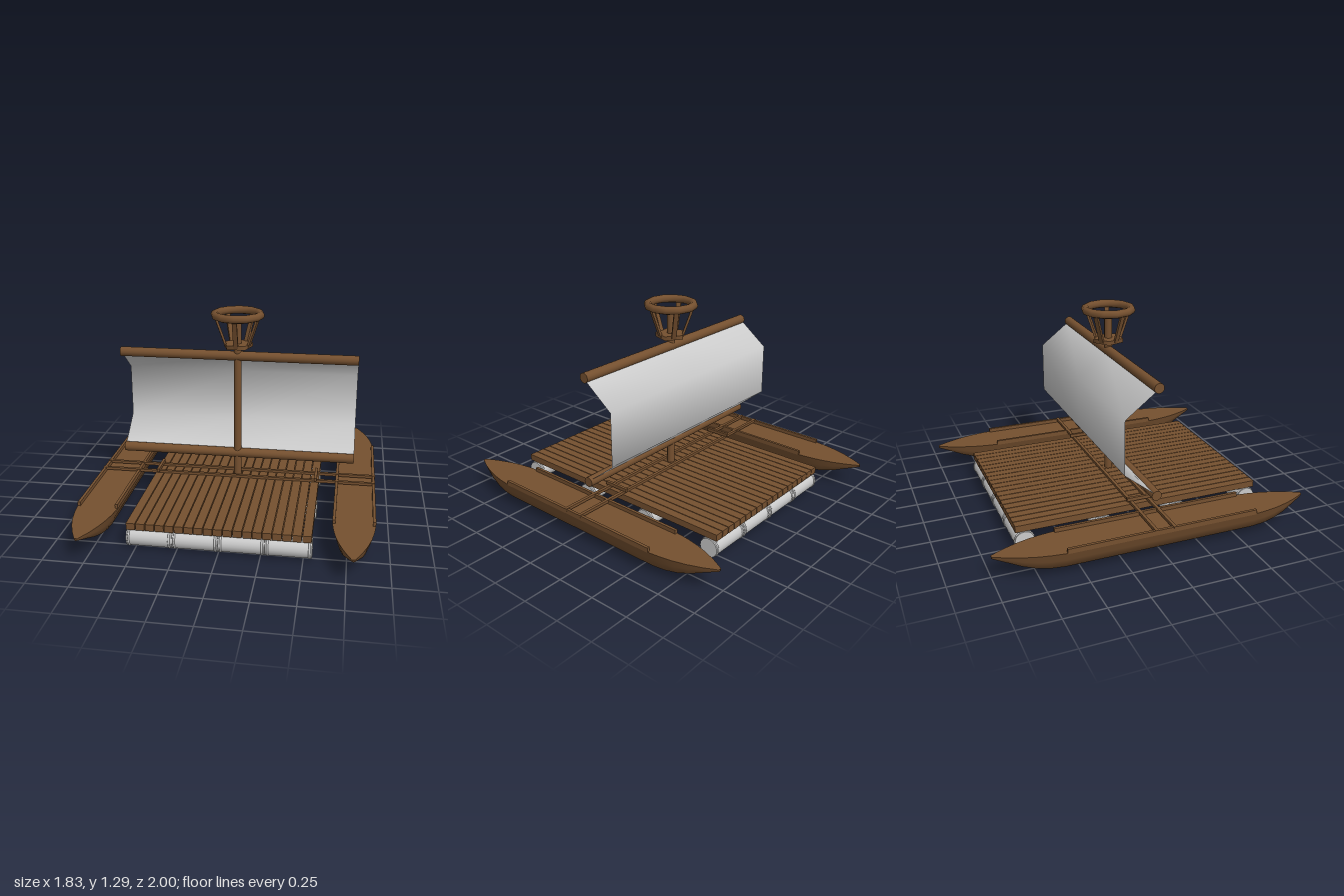
import * as THREE from 'three';

const wood = new THREE.MeshStandardMaterial({ color: 0x75502f });
const grey = new THREE.MeshStandardMaterial({ color: 0xcccccc });
const cloth = new THREE.MeshStandardMaterial({ color: 0xcccccc, side: THREE.DoubleSide });

function add(parent, name, geometry, material, x = 0, y = 0, z = 0) {
  const mesh = new THREE.Mesh(geometry, material);
  mesh.name = name;
  mesh.position.set(x, y, z);
  parent.add(mesh);
  return mesh;
}

const box = (w, h, d) => new THREE.BoxGeometry(w, h, d);
const rodX = (r, length, sides = 16) =>
  new THREE.CylinderGeometry(r, r, length, sides).rotateZ(Math.PI / 2);

// Hull shell lofted from cross-sections, with a separate flat top
function hullGeometry() {
  const half = [[0.6, 0.128, 0.03], [0.68, 0.119, 0.034], [0.76, 0.104, 0.048],
    [0.84, 0.081, 0.074], [0.92, 0.05, 0.11], [1, 0.01, 0.142]];
  const stations = [...half.map(([z, w, b]) => [-z, w, b]).reverse(), ...half];
  const section = [[1, 0], [0.86, 0.42], [0.7, 0.84], [0, 1], [-0.7, 0.84], [-0.86, 0.42], [-1, 0]];
  const top = 0.157, n = section.length, pos = [], idx = [];
  for (const [z, w, b] of stations)
    for (const [u, v] of section) pos.push(u * w, top - v * (top - b), z);
  for (let i = 0; i < stations.length - 1; i++)
    for (let j = 0; j < n - 1; j++) {
      const a = i * n + j, c = a + n;
      idx.push(a, c, a + 1, a + 1, c, c + 1);
    }
  // blunt tips
  const last = (stations.length - 1) * n;
  for (let j = 1; j < n - 1; j++) idx.push(0, j, j + 1, last, last + j + 1, last + j);
  // top surface
  const t = pos.length / 3;
  for (const [z, w] of stations) pos.push(w, top, z, -w, top, z);
  for (let i = 0; i < stations.length - 1; i++) {
    const a = t + i * 2;
    idx.push(a, a + 1, a + 2, a + 1, a + 3, a + 2);
  }
  const g = new THREE.BufferGeometry();
  g.setAttribute('position', new THREE.Float32BufferAttribute(pos, 3));
  g.setIndex(idx);
  g.computeVertexNormals();
  return g;
}

// Sail: a bent sheet bulging backwards between the yards
function sailGeometry() {
  const g = new THREE.PlaneGeometry(1.54, 1, 2, 3);
  const rows = [[0.98, -0.01], [0.83, -0.205], [0.49, -0.205], [0.335, -0.01]];
  const p = g.attributes.position;
  for (let i = 0; i < p.count; i++) {
    const [y, z] = rows[Math.floor(i / 3)];
    p.setY(i, y);
    p.setZ(i, z);
  }
  g.computeVertexNormals();
  return g;
}

function createLookout() {
  const nest = new THREE.Group();
  nest.name = 'lookout';
  // pentagonal floor with a corner pointing backwards
  add(nest, 'lookoutFloor', new THREE.CylinderGeometry(0.098, 0.098, 0.026, 5).rotateY(Math.PI),
    wood, 0, 1.063, 0);
  add(nest, 'lookoutRail', new THREE.TorusGeometry(0.146, 0.026, 8, 12).rotateX(Math.PI / 2),
    wood, 0, 1.26, 0);
  // leaning struts from the floor edges to the rail
  const up = new THREE.Vector3(0, 1, 0);
  for (let i = 0; i < 5; i++) {
    const a = (i * 2 * Math.PI) / 5;
    const foot = new THREE.Vector3(0, 1.06, 0.075);
    const head = new THREE.Vector3(0, 1.25, 0.142);
    const dir = head.clone().sub(foot);
    const strut = box(0.03, dir.length(), 0.015);
    strut.applyQuaternion(new THREE.Quaternion().setFromUnitVectors(up, dir.clone().normalize()));
    const mid = foot.add(head).multiplyScalar(0.5);
    strut.translate(mid.x, mid.y, mid.z).rotateY(a);
    add(nest, 'lookoutStrut', strut, wood);
  }
  return nest;
}

export function createModel() {
  const model = new THREE.Group();
  model.name = 'raft';

  // Deck planks
  const deck = new THREE.Group();
  deck.name = 'deck';
  model.add(deck);
  const count = 19, pitch = 1.1 / count;
  for (let i = 0; i < count; i++)
    add(deck, 'plank', box(pitch - 0.005, 0.042, 1.6), wood, (i - (count - 1) / 2) * pitch, 0.148, 0);

  // Rows of floats, each of four drums with rims at both ends
  for (const z of [-0.745, -0.248, 0.248, 0.745]) {
    const row = new THREE.Group();
    row.name = 'floatRow';
    row.position.set(0, 0.065, z);
    model.add(row);
    for (let i = 0; i < 4; i++) {
      const x = (i - 1.5) * 0.276;
      add(row, 'drum', rodX(0.06, 0.274, 20), grey, x);
      for (const s of [-1, 1])
        add(row, 'drumRim', new THREE.TorusGeometry(0.058, 0.007, 6, 20).rotateY(Math.PI / 2),
          grey, x + s * 0.122);
    }
  }

  // Outrigger hulls with side rails
  const hull = hullGeometry();
  for (const side of [1, -1]) {
    const outrigger = new THREE.Group();
    outrigger.name = side > 0 ? 'leftOutrigger' : 'rightOutrigger';
    outrigger.position.x = side * 0.785;
    model.add(outrigger);
    add(outrigger, 'hull', hull, wood);
    for (const s of [1, -1])
      add(outrigger, 'hullRail', box(0.018, 0.03, 1.2), wood, s * 0.119, 0.167, 0);
    // tie block across the two beams
    add(model, 'tieBlock', box(0.018, 0.022, 0.175), wood, side * 0.527, 0.194, 0);
  }

  // Cross beams joining the hulls
  for (const z of [-0.06, 0.056])
    add(model, 'crossBeam', box(1.83, 0.018, 0.02), wood, 0, 0.176, z);

  // Mast, yards and sail
  add(model, 'mast', new THREE.CylinderGeometry(0.025, 0.025, 1.06, 12), wood, 0, 0.692, 0);
  add(model, 'upperYard', rodX(0.031, 1.54), wood, 0, 0.991, 0);
  add(model, 'lowerYard', rodX(0.031, 1.54), wood, 0, 0.323, 0);
  add(model, 'sail', sailGeometry(), cloth);

  model.add(createLookout());
  return model;
}
